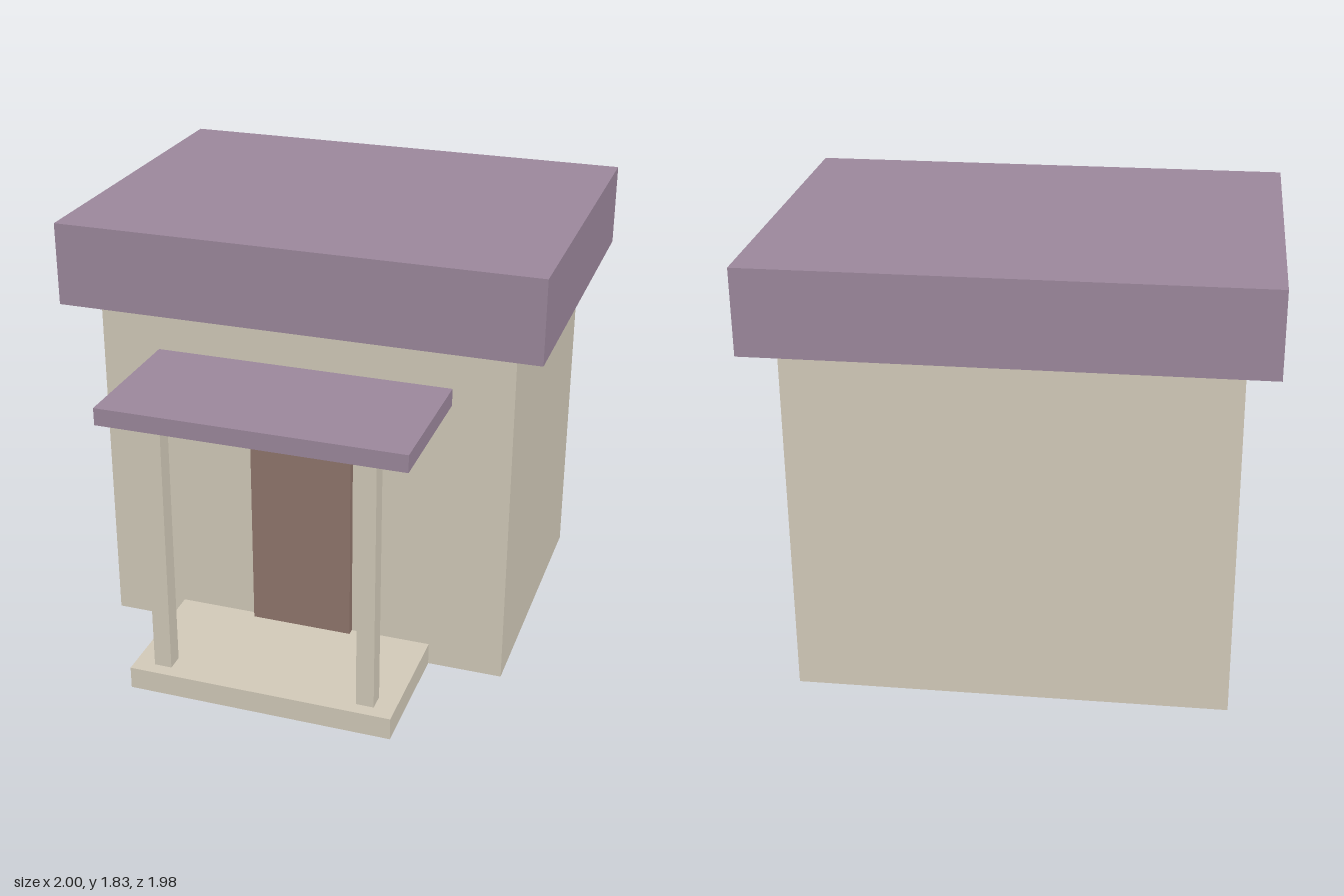
import * as THREE from 'three';

const material = (color) => new THREE.MeshStandardMaterial({ color });

export function createModel() {
  const model = new THREE.Group();
  model.name = 'house';
  const wall = material(0xd1c9b8);
  const roofing = material(0x9b879b);
  const wood = material(0x8f756b);

  // Box given by its extents along x, y and z
  const addBox = (name, mat, [x0, x1], [y0, y1], [z0, z1]) => {
    const mesh = new THREE.Mesh(new THREE.BoxGeometry(x1 - x0, y1 - y0, z1 - z0), mat);
    mesh.position.set((x0 + x1) / 2, (y0 + y1) / 2, (z0 + z1) / 2);
    mesh.name = name;
    model.add(mesh);
  };

  // Main building
  addBox('walls', wall, [-0.875, 0.875], [0, 1.487], [-0.867, 0.382]);
  addBox('roof', roofing, [-1, 1], [1.487, 1.832], [-0.992, 0.507]);
  addBox('door', wood, [-0.218, 0.218], [0.095, 0.97], [0.382, 0.414]);

  // Porch
  addBox('porchFloor', wall, [-0.56, 0.56], [0, 0.095], [0.382, 0.945]);
  addBox('porchRoof', roofing, [-0.625, 0.625], [1.217, 1.289], [0.382, 0.992]);
  for (const [name, x] of [['leftPost', 0.4375], ['rightPost', -0.4375]]) {
    addBox(name, wall, [x - 0.037, x + 0.037], [0.095, 1.217], [0.816, 0.89]);
  }

  return model;
}
